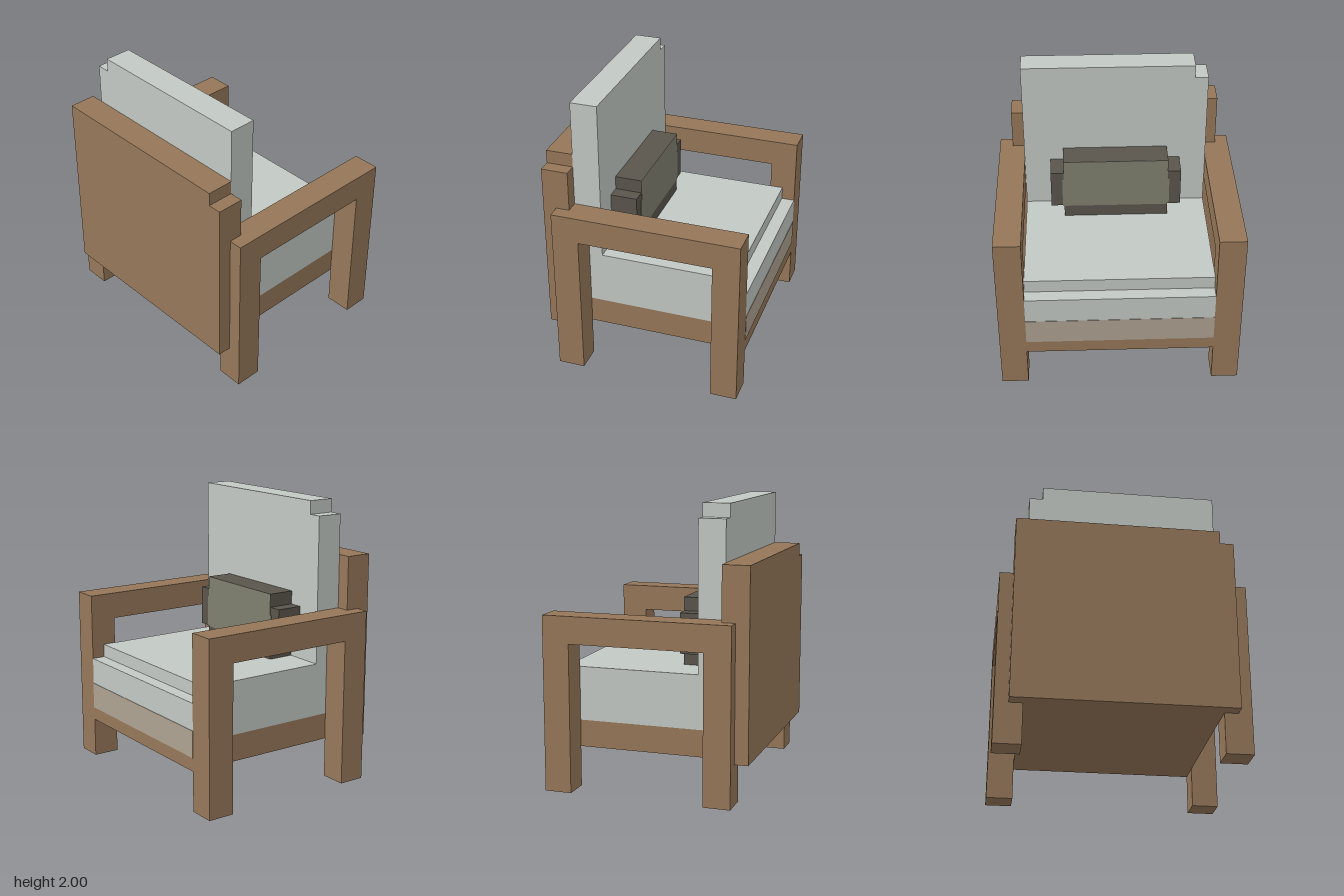
import * as THREE from 'three';

// The chair sits on a coarse grid: 21 cells tall = 2 units. The seat faces +x.
const CELL = 2 / 21;

function material(name, color) {
  const m = new THREE.MeshStandardMaterial({ color });
  m.name = name;
  return m;
}

export function createModel() {
  const wood = material('wood', 0x957759);
  const fabric = material('pale fabric', 0xc2c8c3);
  const trim = material('beige trim', 0xaea291);
  const dark = material('dark pillow fabric', 0x5a554c);
  const olive = material('olive pillow face', 0x80806f);

  const chair = new THREE.Group();
  chair.name = 'armchair';

  // Box given by its [min, max] range in grid cells on each axis
  function block(parent, name, mat, x, y, z) {
    const size = [x, y, z].map(([a, b]) => (b - a) * CELL);
    const mesh = new THREE.Mesh(new THREE.BoxGeometry(...size), mat);
    mesh.position.set(...[x, y, z].map(([a, b]) => (a + b) / 2 * CELL));
    mesh.name = name;
    parent.add(mesh);
  }
  function group(name) {
    const g = new THREE.Group();
    g.name = name;
    chair.add(g);
    return g;
  }

  // Side frames: two legs joined by an armrest
  for (const [side, z] of [['left', [-9, -7]], ['right', [7, 9]]]) {
    const frame = group(side + 'SideFrame');
    block(frame, 'rearLeg', wood, [-6.5, -4.5], [0, 11], z);
    block(frame, 'frontLeg', wood, [5.5, 7.5], [0, 11], z);
    block(frame, 'armrest', wood, [-6.5, 7.5], [11, 13], z);
  }

  // Seat base and back panel, with a step in one top corner
  block(chair, 'seatBase', wood, [-5.5, 7.5], [3, 5], [-7, 7]);
  const back = group('backPanel');
  block(back, 'backBoard', wood, [-7.5, -5.5], [3, 16], [-8, 8]);
  block(back, 'backTop', wood, [-7.5, -5.5], [16, 17], [-8, 7]);

  // Seat cushion with a stepped front edge and a beige front strip
  const seat = group('seatCushion');
  block(seat, 'cushionBody', fabric, [-5.5, 7.5], [5, 8], [-7, 7]);
  block(seat, 'cushionTop', fabric, [-5.5, 6.5], [8, 9], [-7, 7]);
  block(seat, 'frontStrip', trim, [7.5, 7.53], [4, 6], [-7, 7]);

  // Back cushion, with a notch in one top corner
  const backCushion = group('backCushion');
  block(backCushion, 'backCushionBody', fabric, [-5.5, -3.5], [9, 20], [-7, 7]);
  block(backCushion, 'backCushionTop', fabric, [-5.5, -3.5], [20, 21], [-6, 7]);

  // Pillow: tall middle, shorter ends, olive front face
  const pillow = group('pillow');
  block(pillow, 'pillowMiddle', dark, [-3.5, -1.5], [9, 14], [-4, 4]);
  for (const z of [[-5, -4], [4, 5]]) block(pillow, 'pillowEnd', dark, [-3.5, -1.5], [10, 13], z);
  block(pillow, 'pillowFace', olive, [-1.5, -1.47], [9.95, 14], [-4, 4]);
  for (const z of [[-4.12, -4], [4, 4.12]]) block(pillow, 'pillowFaceEdge', olive, [-1.5, -1.47], [10, 12.4], z);

  return chair;
}
